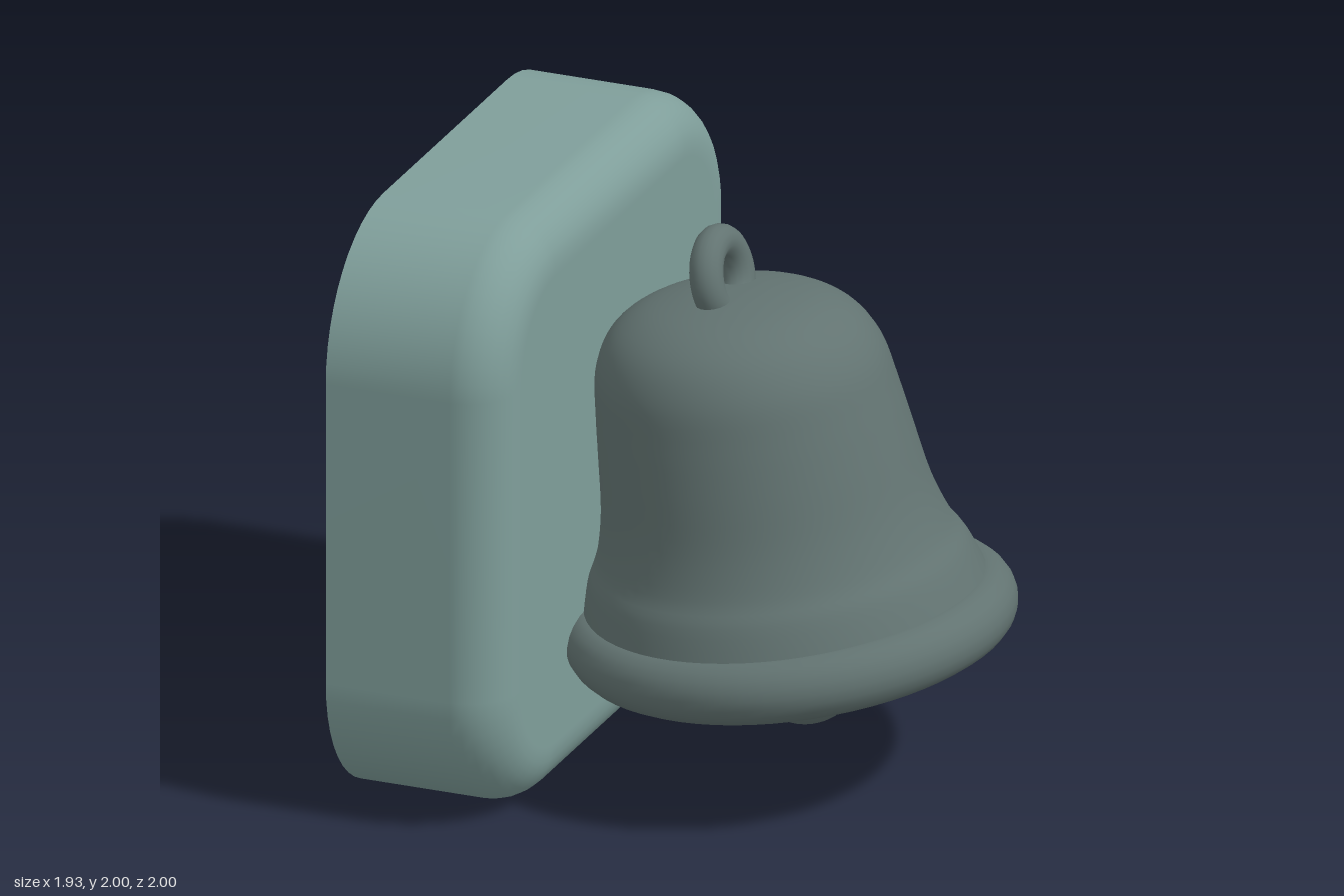
import * as THREE from 'three';
import { mergeVertices } from 'three/addons/utils/BufferGeometryUtils.js';

// Leans the bell: the axis drifts towards -x with height, the rim rises towards +x
function lean(geometry) {
  geometry.deleteAttribute('uv');
  geometry.deleteAttribute('normal');
  const p = geometry.attributes.position;
  for (let i = 0; i < p.count; i++) {
    const u = p.getX(i), h = p.getY(i);
    p.setXY(i, 0.97 * u + 0.24 - 0.2 * h, 0.505 + h + 0.115 * u + 0.035 * u * u);
  }
  const merged = mergeVertices(geometry, 1e-4);
  merged.computeVertexNormals();
  return merged;
}

// Smooth curve through [radius, height] pairs
function smoothProfile(pairs, count) {
  return new THREE.SplineCurve(pairs.map(([r, h]) => new THREE.Vector2(r, h)))
    .getPoints(count).map(v => new THREE.Vector2(Math.max(v.x, 0), v.y));
}

// Rounded square shell, open at the back (-x), with a filleted front edge
function shellGeometry() {
  const corner = 0.48, fillet = 0.17, steps = 12, front = -0.36;
  const rings = [[-0.96, 0]];
  for (let i = 0; i <= 8; i++) {
    const a = i / 8 * Math.PI / 2;
    rings.push([front - fillet * (1 - Math.sin(a)), fillet * (1 - Math.cos(a))]);
  }
  rings.push([front, fillet + 0.02]);
  const pos = [], index = [], n = 4 * (steps + 1);
  for (const [x, inset] of rings) {
    for (let c = 0; c < 4; c++) {
      const sy = c === 0 || c === 3 ? 1 : -1, sz = c < 2 ? 1 : -1;
      const start = [0, 1, 2, 3][c] * Math.PI / 2;
      for (let s = 0; s <= steps; s++) {
        const a = start + s / steps * Math.PI / 2, r = corner - inset;
        pos.push(x, 1 + sy * (1 - corner) + r * Math.cos(a), sz * (1 - corner) + r * Math.sin(a));
      }
    }
  }
  for (let k = 0; k < rings.length - 1; k++) {
    for (let i = 0; i < n; i++) {
      const a = k * n + i, b = k * n + (i + 1) % n;
      index.push(a, b, a + n, b, b + n, a + n);
    }
  }
  // Front face
  const last = (rings.length - 1) * n, centre = pos.length / 3;
  pos.push(front, 1, 0);
  for (let i = 0; i < n; i++) index.push(last + i, last + (i + 1) % n, centre);
  const g = new THREE.BufferGeometry();
  g.setAttribute('position', new THREE.Float32BufferAttribute(pos, 3));
  g.setIndex(index);
  g.computeVertexNormals();
  return g;
}

export function createModel() {
  const group = new THREE.Group();
  const plateColour = new THREE.MeshStandardMaterial({ color: 0x7f9e9a, side: THREE.DoubleSide });
  plateColour.name = 'pale teal';
  const bellColour = new THREE.MeshStandardMaterial({ color: 0x627371 });
  bellColour.name = 'dark grey teal';

  const add = (name, geometry, material) => {
    const mesh = new THREE.Mesh(geometry, material);
    mesh.name = name;
    group.add(mesh);
    return mesh;
  };

  add('wallPlate', shellGeometry(), plateColour);

  // Bell wall: down the inside, then up the outside
  const inside = smoothProfile([[0, 1.06], [0.28, 1.01], [0.42, 0.88], [0.46, 0.7],
    [0.49, 0.42], [0.54, 0.22], [0.6, 0.02]], 24);
  const outside = smoothProfile([[0.67, 0.08], [0.63, 0.2], [0.585, 0.28], [0.545, 0.42],
    [0.52, 0.6], [0.5, 0.75], [0.475, 0.89], [0.41, 1.0], [0.3, 1.07], [0.15, 1.105], [0, 1.115]], 40);
  add('bellBody', lean(new THREE.LatheGeometry([...inside, ...outside], 64)), bellColour);

  // Rounded lip
  add('bellRim', lean(new THREE.TorusGeometry(0.645, 0.105, 20, 64).rotateX(Math.PI / 2)), bellColour);

  // Clapper ball on its rod
  add('clapper', new THREE.SphereGeometry(0.19, 32, 24), bellColour).position.set(0.29, 0.36, 0);
  const rod = add('clapperRod', new THREE.CylinderGeometry(0.03, 0.03, 1.1, 12), bellColour);
  rod.position.set(0.165, 0.99, 0);
  rod.rotation.z = 0.2;

  // Hanging loop on the crown
  const loop = add('hangingLoop',
    new THREE.TorusGeometry(0.118, 0.055, 16, 40).rotateY(Math.PI / 2), bellColour);
  loop.position.set(0, 1.66, -0.01);
  loop.rotation.z = 0.24;

  return group;
}
